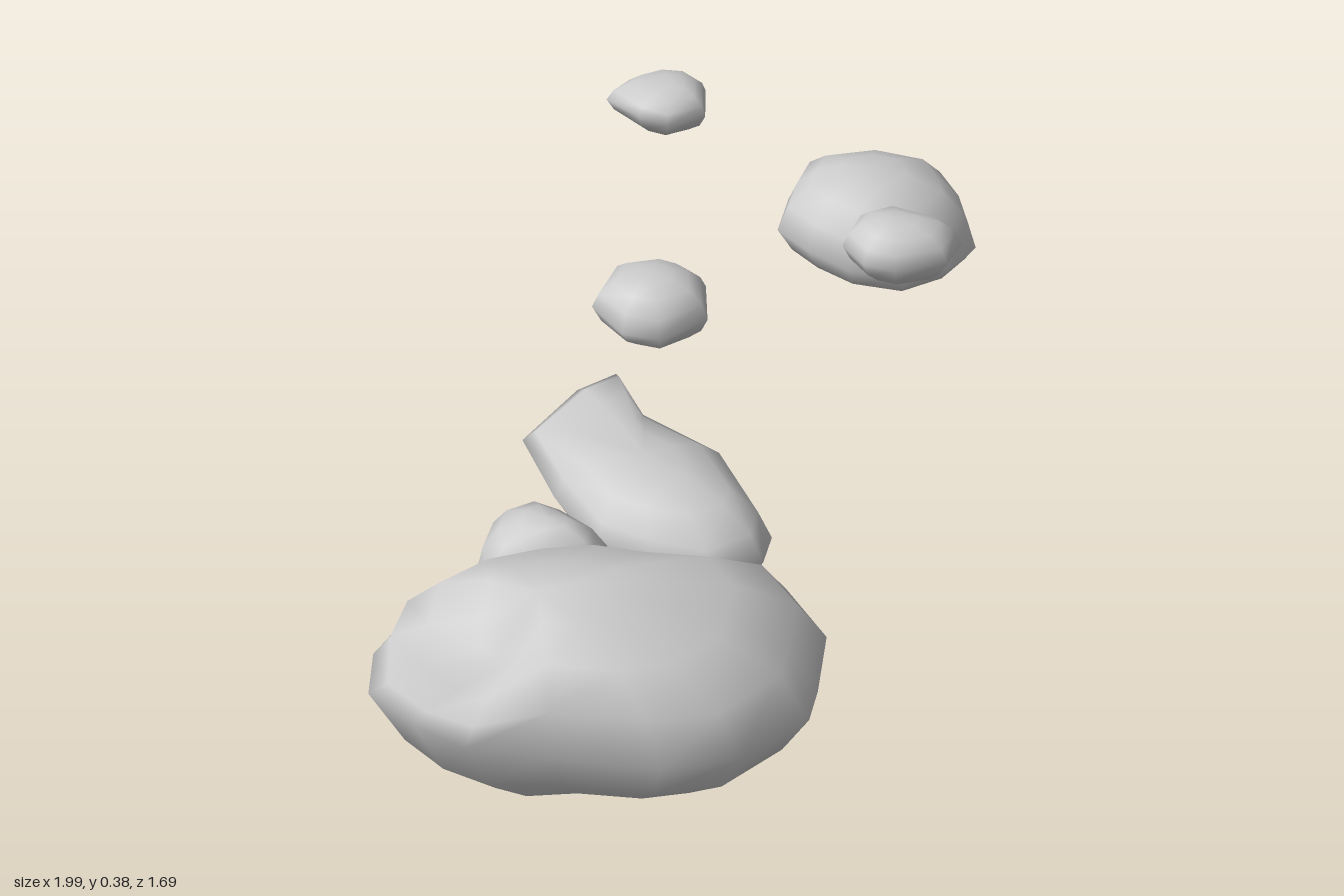
import * as THREE from 'three';

const material = new THREE.MeshStandardMaterial({ color: 0xcccccc, side: THREE.DoubleSide });

// Cross-section rings as [radius, drop or rise], below and above the rim.
const LOWER = [[0.3, 0.96], [0.62, 0.78], [0.87, 0.44]];
const UPPER = [[0.89, 0.44], [0.66, 0.78], [0.34, 0.96]];

// Boulder lofted from a rim loop to a lowest and a highest point.
// Rim points are [x, y, z, bulge], where a small bulge makes a hollow slope above the rim.
function boulder(name, rim, bottom, top) {
  const n = rim.length;
  const pos = [...bottom];
  const index = [];
  const ring = (pole, r, rise, useBulge) => {
    for (const [x, y, z, bulge = 1] of rim) {
      const lift = useBulge ? rise * bulge : rise;
      pos.push(pole[0] + (x - pole[0]) * r, y + (pole[1] - y) * lift, pole[2] + (z - pole[2]) * r);
    }
  };
  LOWER.forEach(([r, d]) => ring(bottom, r, d, false));
  ring(bottom, 1, 0, false);
  UPPER.forEach(([r, d]) => ring(top, r, d, true));
  pos.push(...top);

  const rows = LOWER.length + UPPER.length + 1;
  const last = rows * n + 1;
  const at = (i, j) => 1 + i * n + (j % n);
  for (let j = 0; j < n; j++) {
    index.push(0, at(0, j), at(0, j + 1));
    for (let i = 0; i < rows - 1; i++) {
      const a = at(i, j), b = at(i, j + 1), c = at(i + 1, j + 1), d = at(i + 1, j);
      index.push(b, a, d, b, d, c);
    }
    index.push(at(rows - 1, j + 1), at(rows - 1, j), last);
  }
  const geometry = new THREE.BufferGeometry();
  geometry.setAttribute('position', new THREE.Float32BufferAttribute(pos, 3));
  geometry.setIndex(index);
  geometry.computeVertexNormals();
  const mesh = new THREE.Mesh(geometry, material);
  mesh.name = name;
  return mesh;
}

export function createModel() {
  const group = new THREE.Group();
  group.name = 'scatteredRocks';

  // Large boulder with a raised spur at its outer end
  group.add(boulder('largeBoulder', [
    [-1.0, 0.27, 0.38, 0.2], [-0.91, 0.23, 0.27, 0.6], [-0.83, 0.2, 0.22], [-0.68, 0.2, 0.23],
    [-0.55, 0.2, 0.29], [-0.44, 0.2, 0.37], [-0.36, 0.2, 0.48], [-0.26, 0.21, 0.6],
    [-0.28, 0.19, 0.72], [-0.38, 0.18, 0.8], [-0.44, 0.18, 0.84], [-0.6, 0.19, 0.84],
    [-0.71, 0.19, 0.77], [-0.83, 0.2, 0.64], [-0.95, 0.25, 0.57, 0.4], [-1.0, 0.285, 0.5, 0.1],
  ], [-0.62, 0.0, 0.55], [-0.71, 0.38, 0.47]));

  // Long rock, tapering upward toward the back
  group.add(boulder('longRock', [
    [-0.36, 0.25, 0.0], [-0.2, 0.27, -0.03], [-0.12, 0.28, -0.01], [-0.15, 0.24, 0.1],
    [-0.11, 0.22, 0.29], [-0.18, 0.21, 0.48], [-0.24, 0.21, 0.52], [-0.34, 0.21, 0.5],
    [-0.4, 0.21, 0.4], [-0.44, 0.22, 0.3], [-0.41, 0.23, 0.15],
  ], [-0.25, 0.115, 0.33], [-0.28, 0.32, 0.25]));

  // Small rock wedged between the two
  group.add(boulder('wedgedRock', [
    [-0.65, 0.17, 0.24], [-0.61, 0.18, 0.17], [-0.55, 0.19, 0.13], [-0.47, 0.19, 0.15],
    [-0.44, 0.18, 0.22], [-0.43, 0.19, 0.34], [-0.49, 0.22, 0.38], [-0.57, 0.2, 0.33],
  ], [-0.53, 0.06, 0.24], [-0.52, 0.31, 0.26]));

  // Lone pebble near the middle
  group.add(boulder('middlePebble', [
    [0.06, 0.21, -0.29], [0.16, 0.22, -0.34], [0.25, 0.22, -0.29], [0.275, 0.21, -0.24],
    [0.27, 0.22, -0.18], [0.21, 0.2, -0.11], [0.1, 0.19, -0.13], [0.06, 0.19, -0.2],
  ], [0.17, 0.13, -0.21], [0.17, 0.275, -0.23]));

  // Round boulder on the other side
  group.add(boulder('roundBoulder', [
    [0.59, 0.16, -0.3], [0.67, 0.18, -0.35], [0.75, 0.19, -0.39], [0.9, 0.18, -0.31],
    [0.99, 0.14, -0.18], [0.95, 0.13, -0.08], [0.9, 0.12, -0.01], [0.8, 0.12, 0.01],
    [0.68, 0.13, -0.01], [0.6, 0.15, -0.1], [0.58, 0.16, -0.2],
  ], [0.82, 0.035, -0.18], [0.77, 0.285, -0.21]));

  // Pebble leaning on the round boulder
  group.add(boulder('leaningPebble', [
    [0.56, 0.24, -0.08], [0.63, 0.25, -0.11], [0.71, 0.24, -0.09], [0.76, 0.23, 0.03],
    [0.76, 0.23, 0.07], [0.67, 0.24, 0.11], [0.57, 0.24, 0.06], [0.54, 0.24, 0.0],
  ], [0.65, 0.17, 0.01], [0.64, 0.305, -0.01]));

  // Pebble at the back
  group.add(boulder('backPebble', [
    [0.57, 0.26, -0.83], [0.64, 0.25, -0.85], [0.72, 0.25, -0.83], [0.76, 0.26, -0.77],
    [0.75, 0.27, -0.7], [0.67, 0.27, -0.615], [0.58, 0.27, -0.64], [0.55, 0.28, -0.7],
  ], [0.66, 0.205, -0.74], [0.66, 0.32, -0.71]));

  return group;
}
